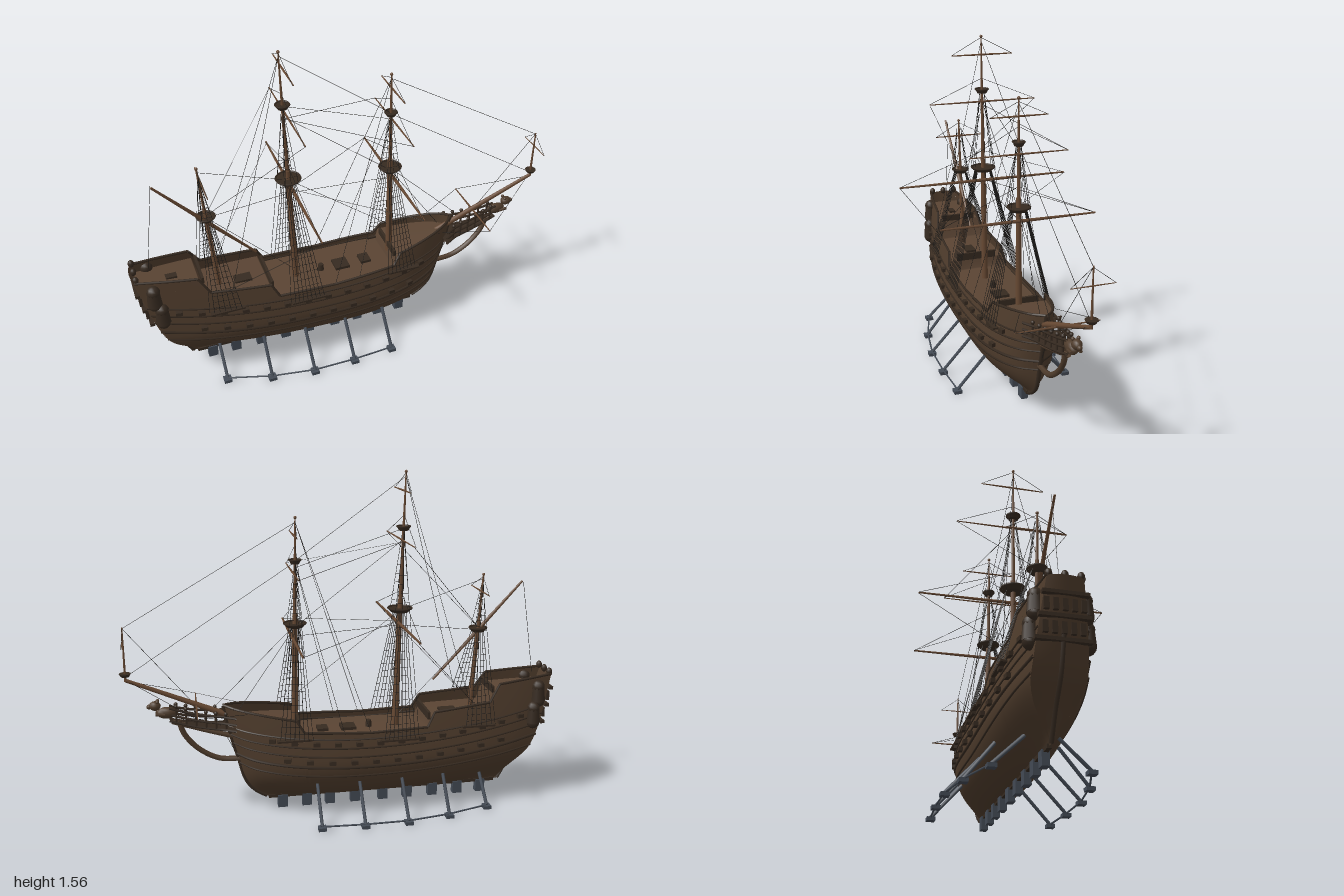
import * as THREE from 'three';
import { mergeGeometries } from 'three/addons/utils/BufferGeometryUtils.js';

const paint = (color) => new THREE.MeshStandardMaterial({ color, side: THREE.DoubleSide });
const hullMat = paint(0x4f3c2c), deckMat = paint(0x5a4433), trimMat = paint(0x362a20);
const sparMat = paint(0x664832), ropeMat = paint(0x1c1a18), standMat = paint(0x434a54);
const V = (x, y, z) => new THREE.Vector3(x, y, z);
const lerp = THREE.MathUtils.lerp;

// Curve value at any input, through [input, value] pairs
const through = (pairs, Type = THREE.CubicInterpolant) => {
  const it = new Type(pairs.map((p) => p[0]), pairs.map((p) => p[1]), 1, [0]);
  return (t) => it.evaluate(t)[0];
};

// Hull form: stern and stem profiles by height, breadth along the length
const sternX = through([[0.065, -0.75], [0.17, -0.81], [0.27, -0.885], [0.4, -0.935], [0.5, -0.96], [0.62, -0.99]]);
const stemX = through([[0.065, 0.36], [0.1, 0.415], [0.15, 0.455], [0.27, 0.49], [0.4, 0.525], [0.53, 0.552]]);
const plan = through([[0, 0.102], [0.1, 0.132], [0.25, 0.156], [0.5, 0.166], [0.75, 0.157], [0.86, 0.131], [0.93, 0.094], [0.975, 0.05], [1, 0.004]]);
const KEEL = 0.065, BEAM_Y = 0.27;
const xAt = (u, y) => lerp(sternX(y), stemX(y), u);
const uAt = (x, y) => THREE.MathUtils.clamp((x - sternX(y)) / (stemX(y) - sternX(y)), 0, 1);
const breadth = (u, y) => {
  const t = (y - KEEL) / (BEAM_Y - KEEL);
  if (t >= 1) return plan(u) * (1 - 0.35 * Math.pow((y - BEAM_Y) / 0.35, 1.3));
  const sharp = 1 + 2.2 * Math.pow(1 - u, 4) + 1.5 * Math.pow(u, 8);
  return plan(u) * Math.pow(Math.max(0, 1 - (1 - t) ** 2), 0.5 * sharp);
};
const onHull = (x, y, side, out = 0) => V(x, y, side * (breadth(uAt(x, y), y) + out));

// Sheer and deck lines with their steps, along the length
const steps = (pts) => pts.map(([x, y]) => [uAt(x, y), y]);
const sheerPts = steps([[-0.99, 0.605], [-0.72, 0.58], [-0.67, 0.5], [-0.4, 0.475], [-0.365, 0.41], [-0.1, 0.402], [0.2, 0.415], [0.235, 0.47], [0.552, 0.525]]);
const deckPts = steps([[-0.98, 0.55], [-0.7, 0.53], [-0.695, 0.44], [-0.39, 0.425], [-0.385, 0.375], [0.215, 0.375], [0.22, 0.435], [0.55, 0.47]]);
const sheer = through(sheerPts, THREE.LinearInterpolant);
const deck = through(deckPts, THREE.LinearInterpolant);
const stations = [...Array.from({ length: 71 }, (_, i) => i / 70), ...[...sheerPts, ...deckPts].map((p) => p[0])];
const columns = [...new Set(stations)].sort((a, b) => a - b);

// Grid surface from a rule giving a point for each row and column
const grid = (nu, nv, point) => {
  const pos = [], index = [];
  for (let i = 0; i < nu; i++) for (let j = 0; j < nv; j++) {
    pos.push(...point(i, j).toArray());
    if (i && j) {
      const a = i * nv + j, b = a - nv;
      index.push(b - 1, a - 1, a, b - 1, a, b);
    }
  }
  const g = new THREE.BufferGeometry();
  g.setAttribute('position', new THREE.Float32BufferAttribute(pos, 3));
  g.setIndex(index);
  g.computeVertexNormals();
  return g;
};
// Tapered round bar between two points
const bar = (a, b, r0, r1 = r0, sides = 6) => {
  const d = b.clone().sub(a);
  const g = new THREE.CylinderGeometry(r1, r0, d.length(), sides);
  g.applyQuaternion(new THREE.Quaternion().setFromUnitVectors(V(0, 1, 0), d.normalize()));
  return g.translate(...a.clone().add(b).multiplyScalar(0.5).toArray());
};
const rope = (a, b, r = 0.0011) => bar(a, b, r, r, 3);
const box = (w, h, d, x, y, z, ry = 0) => new THREE.BoxGeometry(w, h, d).rotateY(ry).translate(x, y, z);
const ball = (r, x, y, z, sx = 1, sy = 1, sz = 1) => new THREE.SphereGeometry(r, 10, 8).scale(sx, sy, sz).translate(x, y, z);
const tube = (pts, r, n = 40) => new THREE.TubeGeometry(new THREE.CatmullRomCurve3(pts), n, r, 5);

export function createModel() {
  const ship = new THREE.Group();
  ship.name = 'sailingShip';
  const add = (name, mat, geos) => {
    const list = [geos].flat();
    list.forEach((g) => g.deleteAttribute('uv'));
    const mesh = new THREE.Mesh(mergeGeometries(list), mat);
    mesh.name = name;
    ship.add(mesh);
  };
  const both = (fn) => [1, -1].flatMap((s) => fn(s));

  // Planked shell, transom and stepped decks
  const rows = 22;
  add('hull', hullMat, both((s) => grid(columns.length, rows, (i, j) => {
    const u = columns[i], y = lerp(KEEL, sheer(u), Math.pow(j / (rows - 1), 1.4));
    return V(xAt(u, y), y, s * breadth(u, y));
  })));
  add('transom', hullMat, grid(rows, 9, (i, j) => {
    const y = lerp(KEEL, sheer(0), i / (rows - 1)), k = j / 4 - 1;
    return V(sternX(y) - 0.012 * (1 - k * k), y, k * breadth(0, y));
  }));
  add('decks', deckMat, grid(columns.length, 3, (i, j) => {
    const u = columns[i], y = deck(u);
    return V(xAt(u, y), y + (j === 1 ? 0.004 : 0), (j - 1) * breadth(u, y));
  }));
  add('keel', trimMat, [box(1.1, 0.016, 0.018, -0.195, KEEL, 0),
    tube([0.068, 0.1, 0.15, 0.27, 0.4, 0.52].map((y) => V(stemX(y), y, 0)), 0.01),
    tube([0.068, 0.17, 0.27, 0.4].map((y) => V(sternX(y) - 0.012, y, 0)), 0.01)]);

  // Wales along the sides and cap rails on the sheer
  const rise = (x) => 0.085 * ((x + 0.1) / 0.8) ** 2;
  add('wales', trimMat, both((s) => [0.2, 0.245, 0.295, 0.335, 0.375].map((y0, k) => tube(
    Array.from({ length: 25 }, (_, i) => {
      const u = i / 24, y = y0 + rise(xAt(u, y0));
      return V(xAt(u, y), y, s * (breadth(u, y) + 0.001));
    }), k === 1 ? 0.007 : 0.0045, 60))));
  add('capRails', trimMat, both((s) => columns.slice(1).map((u, i) => {
    const [a, b] = [columns[i], u].map((c) => V(xAt(c, sheer(c)), sheer(c), s * breadth(c, sheer(c))));
    return bar(a, b, 0.006);
  })));

  // Gun port lids in two rows
  const lids = (s, y0, from, n, gap) => Array.from({ length: n }, (_, i) => {
    const x = from + i * gap, y = y0 + rise(x), p = onHull(x, y, s, 0.006);
    const q = onHull(x + 0.02, y, s, 0.006);
    return box(0.03, 0.018, 0.022, p.x, p.y, p.z, -Math.atan2(q.z - p.z, 0.02));
  });
  add('gunPorts', trimMat, both((s) => [...lids(s, 0.356, -0.82, 13, 0.097), ...lids(s, 0.272, -0.72, 11, 0.1)]));

  // Stern galleries, windows and lanterns
  add('sternGalleries', trimMat, [
    ...both((s) => [0.42, 0.52].flatMap((y) => {
      const p = onHull(sternX(y) + 0.05, y, s, 0.004);
      return [new THREE.CylinderGeometry(0.028, 0.034, 0.07, 10).translate(p.x, y, p.z), ball(0.03, p.x, y + 0.035, p.z), ball(0.032, p.x, y - 0.035, p.z)];
    })),
    ...[0.38, 0.46, 0.54].map((y) => box(0.02, 0.014, 2 * breadth(0, y) + 0.02, sternX(y) - 0.012, y, 0)),
    ...[0.42, 0.5].flatMap((y) => [-2, -1, 0, 1, 2].map((k) => box(0.014, 0.045, 0.02, sternX(y) - 0.012, y, k * 0.034))),
    ...[-0.06, 0, 0.06].map((z) => ball(0.014, -0.978, 0.615, z, 1, 1.3, 1)),
  ]);

  // Deck fittings
  add('deckFittings', trimMat, [box(0.07, 0.016, 0.07, -0.02, 0.383, 0), box(0.05, 0.016, 0.06, 0.1, 0.383, 0),
    new THREE.CylinderGeometry(0.012, 0.016, 0.04, 10).translate(-0.12, 0.39, 0),
    box(0.012, 0.035, 0.2, -0.385, 0.445, 0), box(0.012, 0.03, 0.19, 0.22, 0.45, 0), box(0.012, 0.03, 0.17, -0.695, 0.55, 0),
    box(0.08, 0.012, 0.05, -0.5, 0.438, 0), box(0.05, 0.012, 0.03, -0.82, 0.545, 0)]);

  // Beakhead, cutwater and figurehead
  add('cutwater', hullMat, [tube([V(0.48, 0.262, 0), V(0.58, 0.272, 0), V(0.67, 0.325, 0), V(0.73, 0.4, 0), V(0.75, 0.465, 0)], 0.013),
    tube([V(0.5, 0.37, 0), V(0.6, 0.4, 0), V(0.78, 0.46, 0)], 0.012)]);
  const beakRail = (s, y, t) => V(lerp(0.5, 0.79, t), y + 0.045 * t * t, s * lerp(0.085, 0.014, Math.sqrt(t)));
  const ts = [0, 0.2, 0.4, 0.6, 0.8, 1];
  add('beakhead', trimMat, [...both((s) => [0.425, 0.455, 0.485].map((y) => tube(ts.map((t) => beakRail(s, y, t)), 0.006, 20))),
    ...both((s) => [0.15, 0.3, 0.45, 0.6, 0.75, 0.9].flatMap((t) => {
      const a = beakRail(s, 0.42, t), b = beakRail(s, 0.5, t);
      return [bar(a, b, 0.005), ball(0.009, b.x, b.y, b.z)];
    })),
    grid(6, 2, (i, j) => beakRail(j ? 1 : -1, 0.425, ts[i]))]);
  add('figurehead', hullMat, [ball(0.03, 0.8, 0.505, 0, 1.6, 0.9, 0.75), ball(0.024, 0.852, 0.54, 0, 1.1, 0.9, 0.9),
    ball(0.011, 0.878, 0.537, 0), ...both((s) => [bar(V(0.81, 0.5, s * 0.018), V(0.85, 0.505, s * 0.02), 0.007), ball(0.008, 0.84, 0.56, s * 0.012)])]);

  // Masts with tops, yards, shrouds, ratlines and lifts
  const masts = [
    { name: 'foreMast', base: V(0.228, 0.4, 0), head: V(0.213, 1.36, 0), tops: [[0.88, 0.05], [1.165, 0.026]],
      yards: [[0.83, 0.355, 0.98], [1.125, 0.22, 1.24], [1.285, 0.13, 1.345]], foot: [0.185, 0.31], footY: 0.385, n: 7 },
    { name: 'mainMast', base: V(-0.245, 0.36, 0), head: V(-0.28, 1.55, 0), tops: [[0.93, 0.055], [1.3, 0.03]],
      yards: [[0.88, 0.41, 1.02], [1.255, 0.255, 1.36], [1.47, 0.145, 1.545]], foot: [-0.3, -0.16], footY: 0.365, n: 8 },
    { name: 'mizzenMast', base: V(-0.61, 0.43, 0), head: V(-0.655, 1.08, 0), tops: [[0.82, 0.04]],
      yards: [[1.005, 0.125, 1.07]], foot: [-0.67, -0.545], footY: 0.4, n: 6 },
  ];
  const yardBar = (x, y, half, r) => both((s) => bar(V(x, y, 0), V(x, y, s * half), r, r * 0.5));
  for (const m of masts) {
    const at = (y) => m.base.clone().lerp(m.head, (y - m.base.y) / (m.head.y - m.base.y));
    const big = m.n > 6 ? 1 : 0.75, [topY, topR] = m.tops[0], ropes = [];
    const upper = m.tops[1] ? m.tops[1][0] : m.head.y - 0.04;
    add(m.name, sparMat, [bar(m.base, at(topY + 0.05), 0.016 * big, 0.011 * big, 10), bar(at(topY - 0.02), at(upper + 0.03), 0.009 * big, 0.006 * big, 8),
      bar(at(upper), m.head, 0.006 * big, 0.003, 6), ball(0.007, ...m.head.toArray())]);
    add(m.name + 'Tops', trimMat, m.tops.flatMap(([y, r]) => {
      const p = at(y);
      return [new THREE.CylinderGeometry(r, r * 0.72, 0.016, 16).translate(p.x, y, 0), new THREE.TorusGeometry(r, 0.004, 5, 20).rotateX(Math.PI / 2).translate(p.x, y + 0.01, 0)];
    }));
    add(m.name + 'Yards', sparMat, m.yards.flatMap(([y, half]) => yardBar(at(y).x + (half > 0.14 ? 0.014 : 0.008), y, half, half > 0.3 ? 0.008 : 0.0045)));
    add(m.name + 'Channels', trimMat, both((s) => {
      const mid = (m.foot[0] + m.foot[1]) / 2, p = onHull(mid, m.footY, s, 0.008);
      return [box(m.foot[1] - m.foot[0] + 0.03, 0.008, 0.026, mid, m.footY, p.z)];
    }));
    for (const s of [1, -1]) {
      const lower = (k) => onHull(lerp(...m.foot, k), m.footY, s, 0.016);
      const upperEnd = (k) => V(at(topY).x + lerp(-0.02, 0.02, k), topY, s * topR * 0.6);
      const topEdge = (k) => V(at(topY).x + k * topR * 0.6, topY, s * topR * 0.9);
      for (let i = 0; i < m.n; i++) ropes.push(rope(lower(i / (m.n - 1)), upperEnd(i / (m.n - 1)), 0.0014));
      for (let i = 1; i < 15; i++) ropes.push(rope(lower(0).lerp(upperEnd(0), i / 16), lower(1).lerp(upperEnd(1), i / 16), 0.0009));
      for (const k of [-1, 0, 1]) ropes.push(rope(topEdge(k), at(upper).add(V(0, 0, s * 0.01))));
      for (let i = 1; i < 8; i++) ropes.push(rope(topEdge(-1).lerp(at(upper), i / 9), topEdge(1).lerp(at(upper), i / 9), 0.0009));
      for (const [y, half, lift] of m.yards) ropes.push(rope(V(at(y).x + 0.01, y, s * half), at(lift)));
      ropes.push(rope(at(upper), onHull(m.foot[0] - 0.02, m.footY, s, 0.012)));
    }
    add(m.name + 'Rigging', ropeMat, ropes);
  }

  // Slanted mizzen yard, bowsprit and its small mast
  add('lateenYard', sparMat, [V(-0.85, 1.04, 0.014), V(-0.43, 0.585, 0.014)].map((end) => bar(V(-0.64, 0.812, 0.014), end, 0.009, 0.005)));
  add('bowsprit', sparMat, [bar(V(0.42, 0.43, 0), V(0.97, 0.665, 0), 0.015, 0.008, 10), bar(V(0.972, 0.66, 0), V(0.972, 0.905, 0), 0.006, 0.003),
    ...yardBar(0.67, 0.53, 0.185, 0.005), ...yardBar(0.976, 0.83, 0.09, 0.003)]);
  add('bowspritTop', trimMat, new THREE.CylinderGeometry(0.026, 0.018, 0.014, 14).translate(0.972, 0.69, 0));

  // Stays, backstays and braces
  const stays = [
    [-0.28, 1.53, 0.217, 1.17], [-0.27, 1.25, 0.222, 0.87], [-0.26, 0.93, 0.22, 0.56], [-0.27, 1.3, 0.217, 1.14],
    [0.213, 1.34, 0.972, 0.9], [0.217, 1.165, 0.972, 0.68], [0.222, 0.88, 0.6, 0.51], [0.222, 0.87, 0.48, 0.5],
    [-0.653, 1.06, -0.262, 0.93], [-0.635, 0.82, -0.262, 0.86], [-0.635, 0.82, -0.25, 0.42], [-0.85, 1.04, -0.915, 0.6],
    [-0.26, 0.86, 0.222, 0.83], [0.972, 0.9, 0.68, 0.54], [0.6, 0.5, 0.49, 0.27],
  ].map(([x, y, X, Y]) => rope(V(x, y, 0), V(X, Y, 0)));
  const braces = both((s) => [
    rope(V(-0.28, 1.53, 0), onHull(-0.58, 0.475, s)), rope(V(0.213, 1.34, 0), onHull(-0.1, 0.4, s)), rope(V(0.217, 1.165, 0), onHull(0.02, 0.4, s)),
    rope(V(-0.24, 0.88, s * 0.41), onHull(-0.6, 0.49, s)), rope(V(-0.255, 1.255, s * 0.255), V(-0.64, 0.83, 0)),
    rope(V(0.235, 0.83, s * 0.355), V(-0.255, 0.88, 0)), rope(V(0.232, 1.125, s * 0.22), V(-0.268, 1.24, 0)),
    rope(V(0.67, 0.53, s * 0.185), V(0.96, 0.66, 0)), rope(V(0.67, 0.53, s * 0.185), V(0.45, 0.5, s * 0.08)), rope(V(0.976, 0.83, s * 0.09), V(0.972, 0.9, 0)),
  ]);
  add('stays', ropeMat, [...stays, ...braces]);

  // Keel blocks and side props of the stand
  add('keelBlocks', standMat, [-0.675, -0.56, -0.435, -0.31, -0.19, -0.055, 0.065, 0.175, 0.29].map((x) => box(0.045, 0.06, 0.03, x, 0.038, 0)));
  const feet = [[-0.65, 0.185], [-0.45, 0.245], [-0.25, 0.277], [-0.05, 0.277], [0.145, 0.265]];
  add('standProps', standMat, both((s) => feet.flatMap(([x, z], i) => {
    const foot = V(x, 0.016, s * z), parts = [bar(foot, onHull(x, i ? 0.165 : 0.13, s), 0.008), box(0.036, 0.016, 0.036, x, 0.008, s * z)];
    if (i) parts.push(bar(V(feet[i - 1][0], 0.016, s * feet[i - 1][1]), foot, 0.004));
    return parts;
  })));
  return ship;
}
